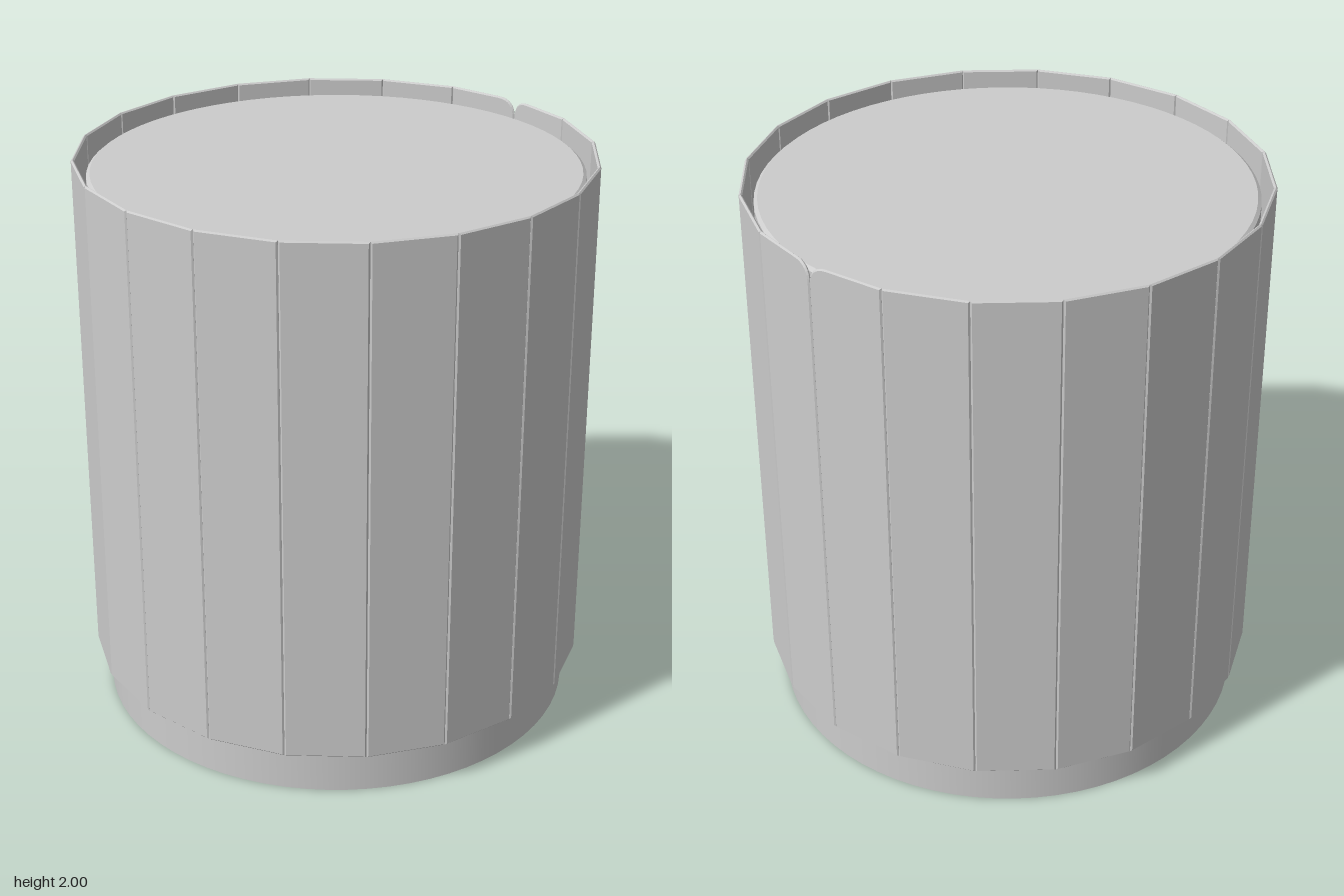
import * as THREE from 'three';
import { toCreasedNormals } from 'three/addons/utils/BufferGeometryUtils.js';

const SLATS = 20;
const BOTTOM = 0.16, TOP = 2;
const BEVEL = 0.005, DEPTH = 0.002;   // total slat thickness 0.012
const APOTHEM = 0.871;                // middle of the slat thickness
const HALF = APOTHEM * Math.tan(Math.PI / SLATS);

// Flat slat with bevelled edges; a top corner can be rounded
function slatGeometry(roundLeft, roundRight) {
  const w = HALF - BEVEL, b = BOTTOM + BEVEL, t = TOP - BEVEL, r = 0.065;
  const s = new THREE.Shape();
  s.moveTo(-w, b);
  s.lineTo(w, b);
  if (roundRight) {
    s.lineTo(w, t - r);
    s.quadraticCurveTo(w, t, w - r, t);
  } else s.lineTo(w, t);
  if (roundLeft) {
    s.lineTo(-w + r, t);
    s.quadraticCurveTo(-w, t, -w, t - r);
  } else s.lineTo(-w, t);
  s.closePath();
  const g = new THREE.ExtrudeGeometry(s, {
    depth: DEPTH, bevelEnabled: true, bevelThickness: BEVEL,
    bevelSize: BEVEL, bevelSegments: 1, curveSegments: 8,
  });
  g.translate(0, 0, APOTHEM - DEPTH / 2);
  return g;
}

export function createModel() {
  const model = new THREE.Group();
  model.name = 'slattedDrum';
  const grey = new THREE.MeshStandardMaterial({ color: 0xcccccc });
  grey.name = 'light grey';

  // Round solid core with a small chamfer at the top
  const profile = [[0, 0], [0.84, 0], [0.84, 1.94], [0.828, 1.95], [0, 1.95]]
    .map(([x, y]) => new THREE.Vector2(x, y));
  const core = new THREE.Mesh(
    toCreasedNormals(new THREE.LatheGeometry(profile, 72), 0.5), grey);
  core.name = 'core';
  model.add(core);

  // Ring of slats; the two that meet at +x have rounded corners at the seam
  const cladding = new THREE.Group();
  cladding.name = 'cladding';
  const plain = slatGeometry(false, false);
  for (let i = 0; i < SLATS; i++) {
    const geometry = i === 4 ? slatGeometry(false, true)
      : i === 5 ? slatGeometry(true, false) : plain;
    const slat = new THREE.Mesh(geometry, grey);
    slat.name = 'slat';
    slat.rotation.y = (i + 0.5) * 2 * Math.PI / SLATS;
    cladding.add(slat);
  }
  model.add(cladding);
  return model;
}
